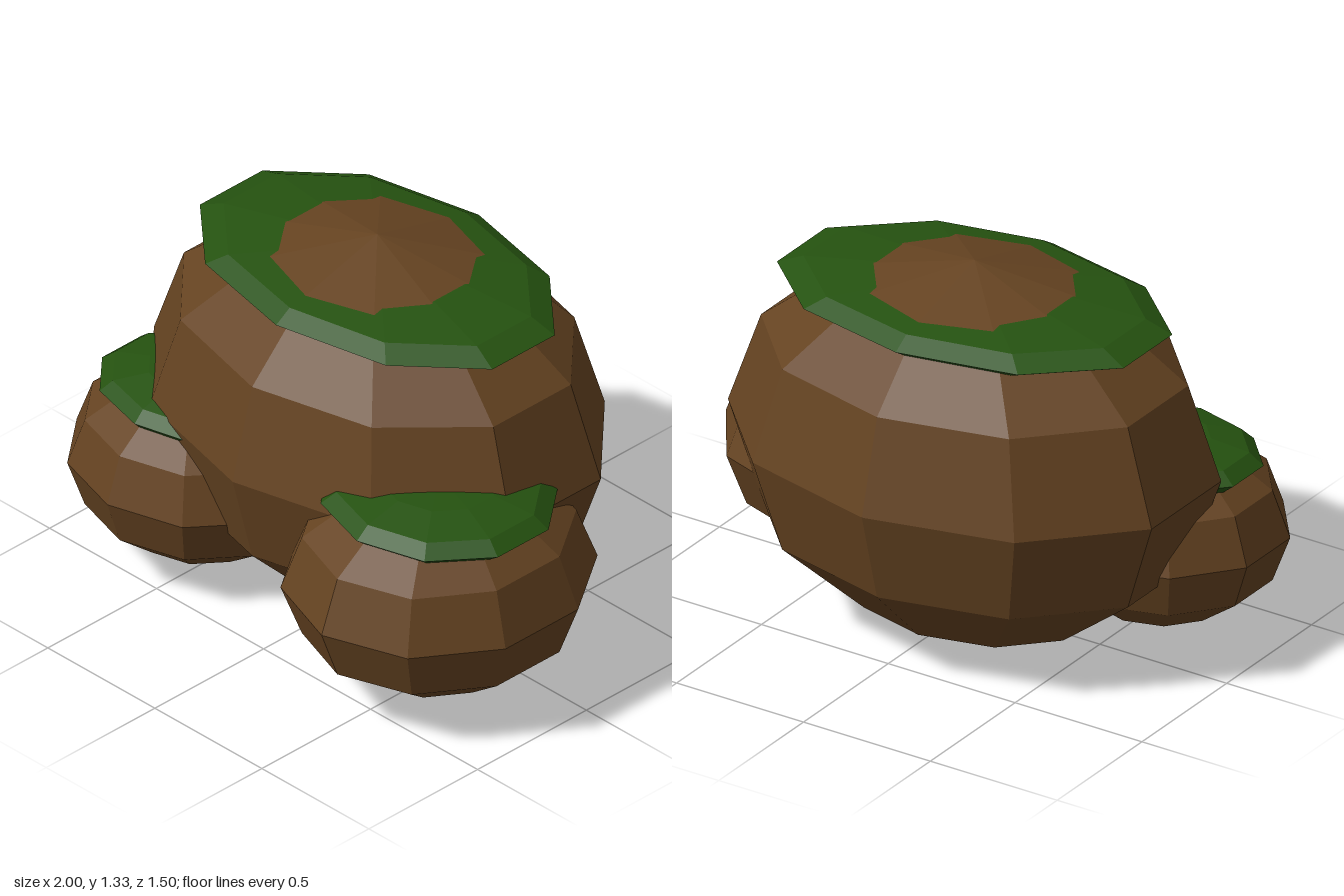
import * as THREE from 'three';

const rock = new THREE.MeshStandardMaterial({ color: 0x654321, flatShading: true });
rock.name = 'brown rock';
const moss = new THREE.MeshStandardMaterial({ color: 0x255210, flatShading: true });
moss.name = 'green moss';

// Ten-sided faceted ball with a corner facing the front, scaled to the given radii
function facetedBall(name, material, [x, y, z], [rx, ry, rz]) {
  const geometry = new THREE.SphereGeometry(1, 10, 6, Math.PI / 2);
  geometry.scale(rx, ry, rz);
  const mesh = new THREE.Mesh(geometry, material);
  mesh.name = name;
  mesh.position.set(x, y, z);
  return mesh;
}

// Boulder with a flat moss cap lying near its top
function mossyBoulder(name, center, radii) {
  const group = new THREE.Group();
  group.name = name;
  const [x, y, z] = center;
  const [rx, ry, rz] = radii;
  group.add(facetedBall(name + 'Rock', rock, center, radii));
  group.add(facetedBall(name + 'Moss', moss,
    [x, y + 0.788 * ry, z], [rx * 0.818, 0.08, rz * 0.7]));
  return group;
}

export function createModel() {
  const model = new THREE.Group();
  model.name = 'mossyBoulders';
  model.add(mossyBoulder('mainBoulder', [-0.063, 0.67, -0.085], [0.878, 0.665, 0.665]));
  model.add(mossyBoulder('leftBoulder', [0.52, 0.42, 0.205], [0.505, 0.375, 0.54]));
  model.add(mossyBoulder('rightBoulder', [-0.565, 0.38, 0.247], [0.457, 0.33, 0.415]));
  return model;
}
